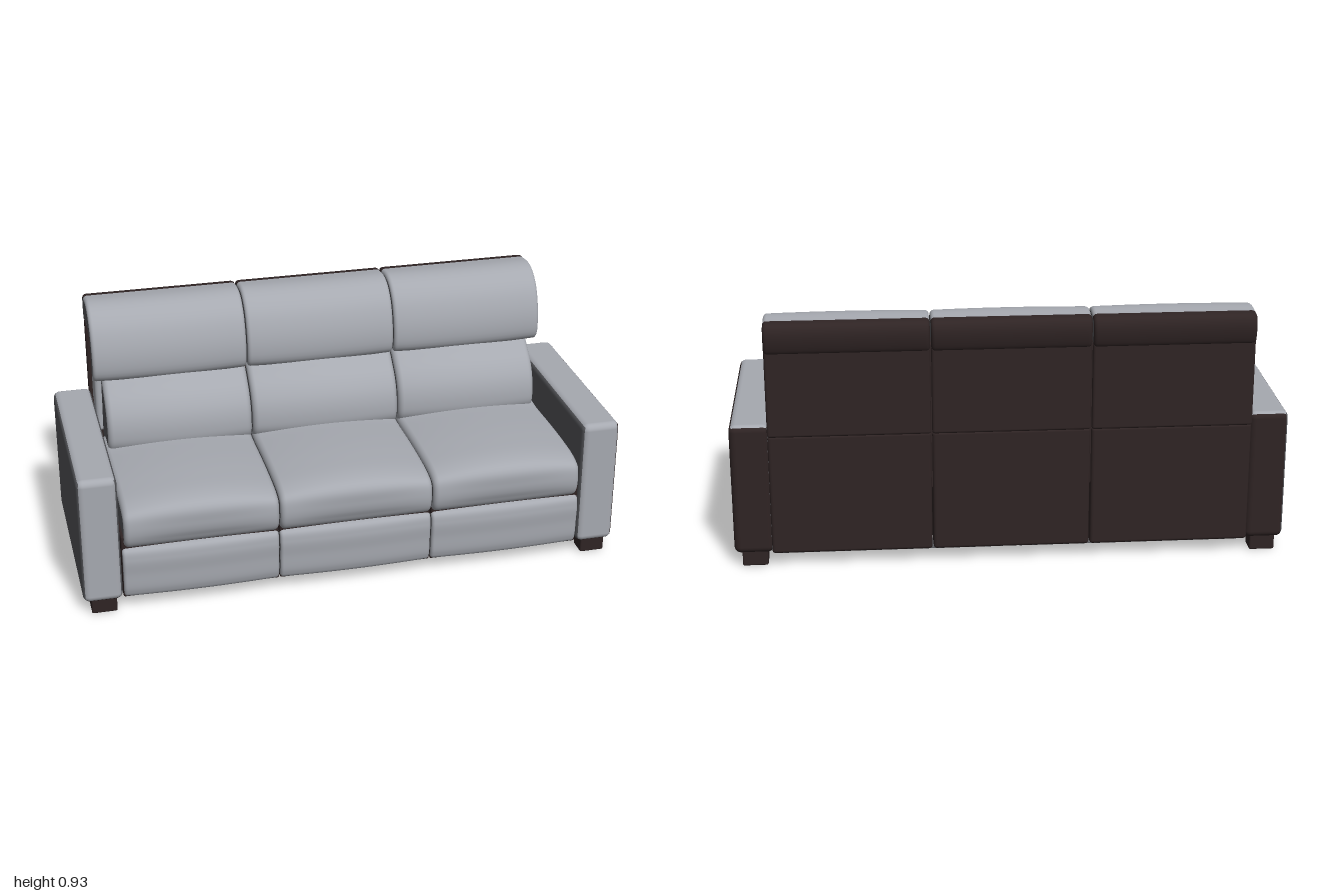
import * as THREE from 'three';
import { RoundedBoxGeometry } from 'three/addons/geometries/RoundedBoxGeometry.js';

const mat = (name, color) => {
  const m = new THREE.MeshStandardMaterial({ color });
  m.name = name;
  return m;
};

// Upholstered piece: closed (z, y) profile swept along x, with rolled ends and a crown.
// Geometry groups: 0 skin, 1 rear skin (z below rearZ), 2 end caps.
function cushionGeometry(profile, x0, x1, { roll = 0.02, dir = [1, 0], crown = 0.02, rearZ = -9 } = {}) {
  const curve = new THREE.CatmullRomCurve3(profile.map(([z, y]) => new THREE.Vector3(z, y, 0)), true, 'centripetal');
  let loop = curve.getPoints(64).slice(0, 64).map(p => new THREE.Vector2(p.x, p.y));
  if (THREE.ShapeUtils.area(loop) < 0) loop.reverse();
  const n = loop.length;
  const normals = loop.map((p, j) => {
    const t = loop[(j + 1) % n].clone().sub(loop[(j + n - 1) % n]).normalize();
    return new THREE.Vector2(t.y, -t.x);
  });

  // Stations across the width: quarter-round at both ends, even steps between
  const half = (x1 - x0) / 2, mid = (x0 + x1) / 2, stations = [];
  for (let k = 0; k <= 5; k++) {
    const a = (k / 5) * Math.PI / 2;
    stations.push([-half + roll * (1 - Math.sin(a)), roll * (1 - Math.cos(a))]);
  }
  stations.reverse();
  const ends = stations.map(([x, inset]) => [x, inset]).sort((a, b) => a[0] - b[0]);
  const all = [...ends];
  for (let k = 1; k < 14; k++) all.push([(-1 + k / 7) * (half - roll), 0]);
  for (const [x, inset] of [...ends].reverse()) all.push([-x, inset]);

  const pos = [], skin = [], rear = [], caps = [];
  const ring = ([x, inset]) => loop.forEach((p, j) => {
    const u = x / half, nn = normals[j];
    const facing = Math.max(0, nn.x * dir[0] + nn.y * dir[1]);
    const d = crown * (1 - u * u) * facing - inset;
    pos.push(mid + x, p.y + nn.y * d, p.x + nn.x * d);
  });
  all.forEach(ring);
  for (let i = 0; i < all.length - 1; i++) {
    for (let j = 0; j < n; j++) {
      const a = i * n + j, b = i * n + (j + 1) % n;
      (loop[j].x < rearZ ? rear : skin).push(a, a + n, b, b, a + n, b + n);
    }
  }
  const faces = THREE.ShapeUtils.triangulateShape(loop, []);
  [all[0], all[all.length - 1]].forEach((s, e) => {
    const base = pos.length / 3;
    ring(s);
    for (const [a, b, c] of faces) caps.push(base + a, base + (e ? c : b), base + (e ? b : c));
  });

  const g = new THREE.BufferGeometry();
  g.setAttribute('position', new THREE.Float32BufferAttribute(pos, 3));
  g.setIndex([...skin, ...rear, ...caps]);
  g.addGroup(0, skin.length, 0);
  g.addGroup(skin.length, rear.length, 1);
  g.addGroup(skin.length + rear.length, caps.length, 2);
  g.computeVertexNormals();
  return g;
}

export function createModel() {
  const root = new THREE.Group();
  root.name = 'sofa';
  const light = mat('light grey leather', 0xa6a9b0);
  const shade = mat('dark grey leather', 0x58595d);
  const brown = mat('dark brown leather', 0x2f2424);

  const add = (name, geometry, material) => {
    const m = new THREE.Mesh(geometry, material);
    m.name = name;
    root.add(m);
    return m;
  };
  // Rounded box given by its min and max corners
  const block = (name, x0, x1, y0, y1, z0, z1, r, material) => {
    const m = add(name, new RoundedBoxGeometry(x1 - x0, y1 - y0, z1 - z0, 4, r), material);
    m.position.set((x0 + x1) / 2, (y0 + y1) / 2, (z0 + z1) / 2);
    return m;
  };

  const seat = [[-0.22, 0.27], [0.2, 0.262], [0.375, 0.258], [0.4, 0.285], [0.407, 0.34],
    [0.395, 0.385], [0.35, 0.405], [0.2, 0.415], [-0.05, 0.41], [-0.22, 0.4]];
  const footrest = [[0.3, 0.055], [0.37, 0.055], [0.383, 0.08], [0.388, 0.15], [0.391, 0.21],
    [0.38, 0.247], [0.3, 0.25]];
  const lumbar = [[-0.26, 0.38], [-0.12, 0.38], [-0.085, 0.42], [-0.08, 0.47], [-0.092, 0.53],
    [-0.12, 0.58], [-0.16, 0.62], [-0.205, 0.655], [-0.235, 0.65], [-0.25, 0.55]];
  const headrest = [[-0.185, 0.652], [-0.222, 0.662], [-0.23, 0.72], [-0.235, 0.8], [-0.26, 0.815],
    [-0.37, 0.815], [-0.4, 0.81], [-0.412, 0.835], [-0.416, 0.885], [-0.402, 0.914], [-0.36, 0.921],
    [-0.3, 0.925], [-0.25, 0.91], [-0.2, 0.865], [-0.17, 0.8], [-0.158, 0.73], [-0.164, 0.675]];

  // Three seat modules
  const edges = [-0.866, -0.284, 0.284, 0.866];
  for (let i = 0; i < 3; i++) {
    const x0 = edges[i] + 0.002, x1 = edges[i + 1] - 0.002;
    // Outer modules stop short of the arms
    const fit = w => [Math.max(x0, -w), Math.min(x1, w)];
    const skin = [light, brown, shade];
    add('seatCushion', cushionGeometry(seat, ...fit(0.845), { dir: [0.25, 0.97], crown: 0.032 }), skin);
    add('footrestPanel', cushionGeometry(footrest, ...fit(0.853), { roll: 0.012, crown: 0.008 }), skin);
    add('lumbarCushion', cushionGeometry(lumbar, ...fit(0.83), { dir: [0.9, 0.44], crown: 0.03 }), skin);
    add('headrest', cushionGeometry(headrest, x0, x1, { roll: 0.014, crown: 0.01, rearZ: -0.368 }), skin);
    block('lowerBackPanel', x0, x1, 0.05, 0.502, -0.39, -0.34, 0.012, brown);
    block('upperBackPanel', x0, x1, 0.498, 0.82, -0.398, -0.37, 0.01, brown);
    block('baseFrame', ...fit(0.855), 0.052, 0.3, -0.35, 0.372, 0.006, brown);
  }

  // Backrest core and its side panels
  block('backrestCore', -0.82, 0.82, 0.28, 0.83, -0.375, -0.225, 0.01, brown);
  for (const s of [-1, 1]) {
    const a = s * 0.8, b = s * 0.85;
    block('backrestSidePanel', Math.min(a, b), Math.max(a, b), 0.4, 0.816, -0.376, -0.272, 0.015, light);
  }

  // Arms, legs and underside strips
  for (const s of [-1, 1]) {
    const span = (a, b) => (s > 0 ? [a, b] : [-b, -a]);
    // Face order: +x, -x, top, bottom, front, back
    block(s > 0 ? 'leftArm' : 'rightArm', ...span(0.857, 1), 0.05, 0.54, -0.385, 0.386, 0.025,
      [s > 0 ? brown : shade, shade, light, brown, light, brown]);
    for (const z of [-0.375, 0.303]) block('leg', ...span(0.88, 0.972), 0, 0.06, z, z + 0.072, 0.006, brown);
    block('armUndersideStrip', ...span(0.885, 0.965), 0.046, 0.052, -0.29, 0.29, 0.002, shade);
    block('backUndersideStrip', ...span(0.03, 0.83), 0.046, 0.052, -0.375, -0.29, 0.002, shade);
  }
  return root;
}
